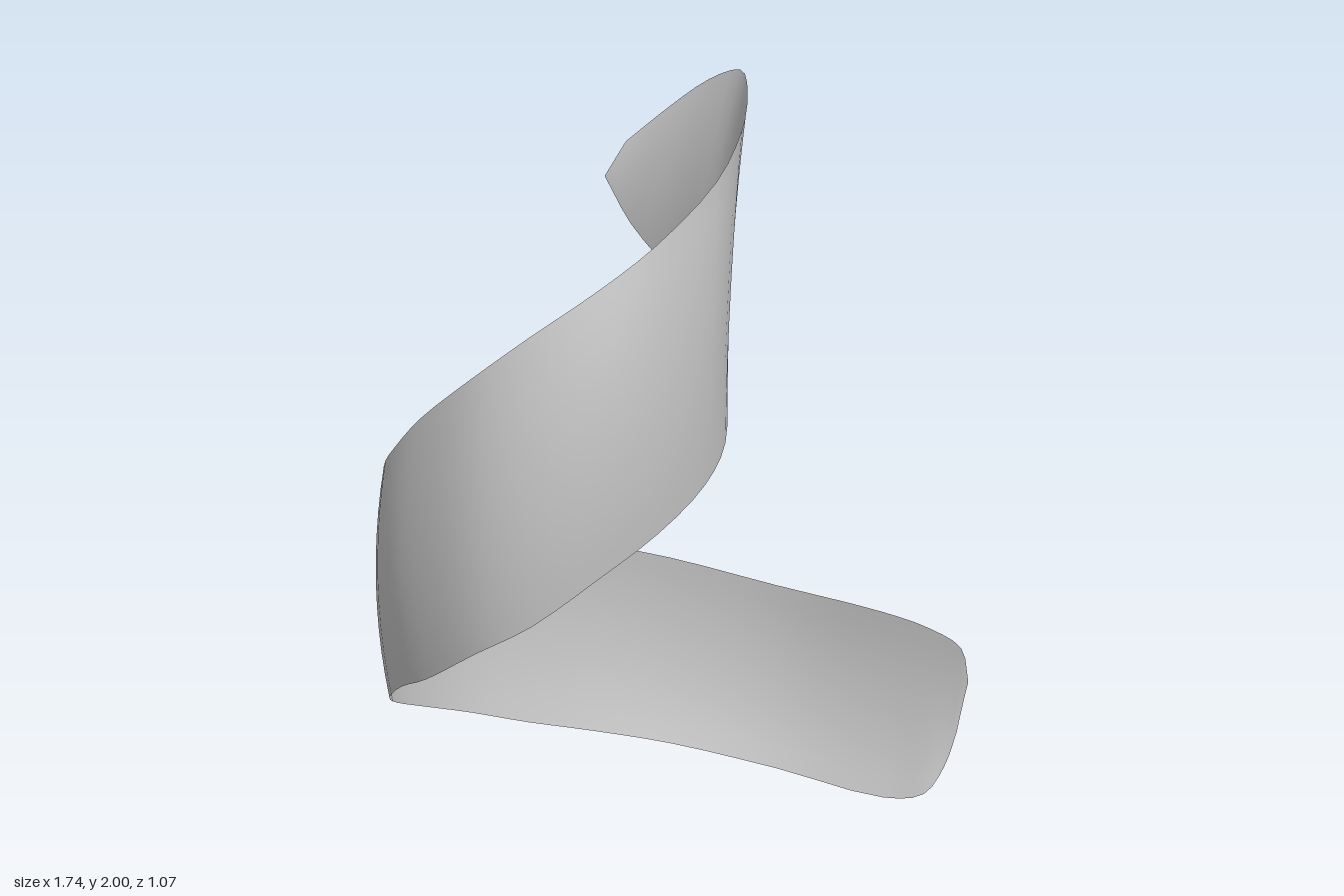
import * as THREE from 'three';

// Matching stations [x, y, z] along the two edges of the ribbon
const LOWER = [
  [0.86, 0.2, 0.335], [0.84, 0.1, 0.31], [0.8, 0.02, 0.27], [0.75, 0, 0.17], [0.6, 0.065, -0.1],
  [0.4, 0.14, -0.32], [0.2, 0.2, -0.44], [0, 0.26, -0.495], [-0.2, 0.33, -0.51], [-0.4, 0.4, -0.465],
  [-0.57, 0.465, -0.38], [-0.7, 0.53, -0.26], [-0.8, 0.61, -0.1], [-0.84, 0.66, 0.03], [-0.85, 0.75, 0.2],
  [-0.8, 0.82, 0.32], [-0.7, 0.92, 0.42], [-0.57, 1.01, 0.48], [-0.43, 1.1, 0.495], [-0.33, 1.18, 0.47],
  [-0.25, 1.29, 0.4], [-0.2, 1.4, 0.3], [-0.2, 1.53, 0.2], [-0.235, 1.65, 0.1], [-0.28, 1.76, 0.06],
];
const UPPER = [
  [0.865, 0.35, 0.365], [0.84, 0.45, 0.355], [0.8, 0.5, 0.28], [0.74, 0.54, 0.16], [0.6, 0.6, -0.11],
  [0.4, 0.68, -0.32], [0.2, 0.74, -0.44], [0, 0.8, -0.495], [-0.2, 0.865, -0.51], [-0.4, 0.93, -0.465],
  [-0.57, 1.01, -0.38], [-0.7, 1.09, -0.26], [-0.8, 1.17, -0.1], [-0.84, 1.25, 0.03], [-0.85, 1.35, 0.2],
  [-0.8, 1.44, 0.32], [-0.7, 1.54, 0.43], [-0.6, 1.63, 0.5], [-0.45, 1.76, 0.54], [-0.34, 1.87, 0.52],
  [-0.26, 1.95, 0.47], [-0.2, 2, 0.4], [-0.19, 1.98, 0.3], [-0.21, 1.92, 0.2], [-0.25, 1.84, 0.1],
];

const rail = (points) => new THREE.CatmullRomCurve3(points.map((p) => new THREE.Vector3(...p)));

// Sheet lofted between both edges, bowed across its width
function ribbonGeometry(along = 72, across = 10) {
  const low = rail(LOWER), high = rail(UPPER);
  const positions = [], indices = [];
  for (let i = 0; i <= along; i++) {
    const t = i / along;
    const a = low.getPoint(t), b = high.getPoint(t);
    const dir = low.getTangent(t).add(high.getTangent(t));
    const out = new THREE.Vector3(-dir.z, 0, dir.x).normalize();
    // Bows outward along the sweep and inward at the curled tip
    const bow = THREE.MathUtils.lerp(0.025, -0.03, THREE.MathUtils.smoothstep(t, 0.66, 0.9))
      * Math.min(1, (a.distanceTo(b) / 0.55) ** 2);
    for (let j = 0; j <= across; j++) {
      const s = j / across;
      const p = a.clone().lerp(b, s).addScaledVector(out, bow * 4 * s * (1 - s));
      positions.push(p.x, p.y, p.z);
      if (i < along && j < across) {
        const k = i * (across + 1) + j, n = k + across + 1;
        indices.push(k, k + 1, n, n, k + 1, n + 1);
      }
    }
  }
  const geometry = new THREE.BufferGeometry();
  geometry.setAttribute('position', new THREE.Float32BufferAttribute(positions, 3));
  geometry.setIndex(indices);
  geometry.computeVertexNormals();
  return geometry;
}

export function createModel() {
  const group = new THREE.Group();
  group.name = 'spiralRibbon';
  const grey = new THREE.MeshStandardMaterial({ color: 0xcccccc, side: THREE.DoubleSide });
  grey.name = 'light grey';
  const ribbon = new THREE.Mesh(ribbonGeometry(), grey);
  ribbon.name = 'ribbon';
  group.add(ribbon);
  return group;
}
